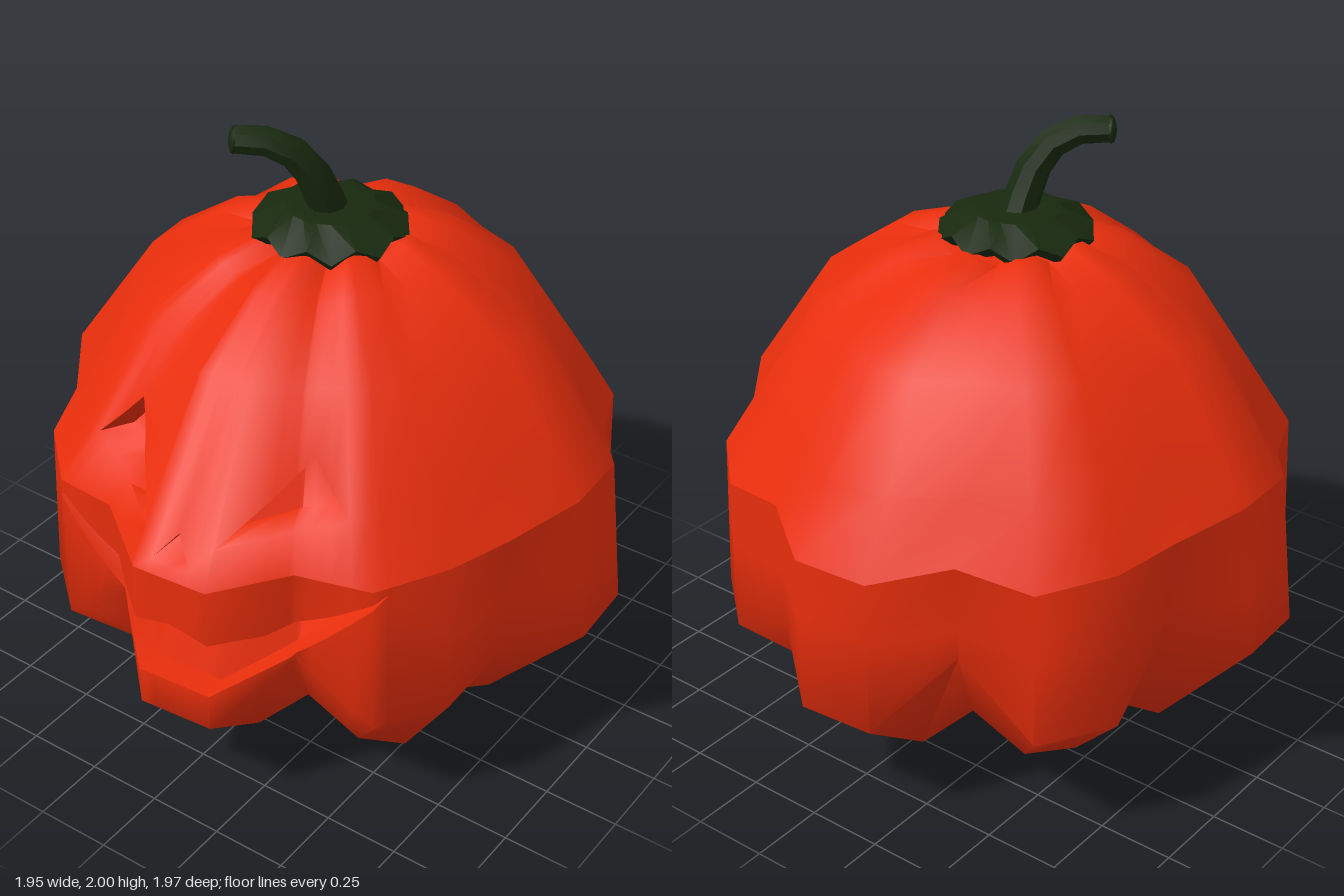
import * as THREE from 'three';
import { mergeGeometries, toCreasedNormals } from 'three/addons/utils/BufferGeometryUtils.js';

const RAD = Math.PI / 180;
const START = 18, STEP = 15;   // angle of the first valley, spacing of the 24 main columns
const FACE = 176;              // direction of the carved face
// radius of each of the 8 ribs
const RIBS = [0.93, 0.985, 0.93, 0.975, 0.93, 0.985, 0.98, 0.975];
// profile rows from underside to top: rib radius, rib y, valley radius, valley y
const ROWS = [
  [0, 0.2, 0, 0.2], [0.42, 0.06, 0.35, 0.22], [0.65, 0.11, 0.62, 0.26],
  [1, 0.37, 0.83, 0.6], [1, 0.9, 0.865, 0.94], [0.655, 1.42, 0.59, 1.42],
  [0.41, 1.59, 0.36, 1.57], [0.25, 1.65, 0.21, 1.61], [0, 1.6, 0, 1.6],
];
// the first three valleys run shallower underneath: radius and y by row
const SHALLOW = { 1: [0.38, 0.14], 2: [0.62, 0.18], 3: [0.85, 0.5] };
// front and back ribs: [raised by, radius factor] on the two widest rows
const FRONT_BACK = { 3: [0.13, 1], 4: [0.1, 0.945] };
const RING = 8; // point index in a column where the sharp ring around the middle runs
// carved openings: lower and upper edge heights by angle away from the face centre,
// and how far the lower and upper edges are set in
const MOUTH = {
  lo: [[0, 0.5], [8, 0.5], [22, 0.6], [41, 0.9], [47, 0.7]],
  hi: [[0, 0.73], [8, 0.7], [18, 0.71], [30, 0.8], [41, 0.9], [47, 0.7]],
  row: 3, depthLo: 0.91, depthHi: 0.84,
};
const EYES_AND_NOSE = {
  lo: [[0, 0.93], [4, 0.94], [8, 1.01], [34, 1.09], [44, 1.12]],
  hi: [[0, 1.02], [4, 0.94], [8, 1.01], [26, 1.245], [34, 1.09], [44, 1.12]],
  row: 4, depthLo: 0.86, depthHi: 0.86,
};

function sample(table, t) {
  for (let i = 1; i < table.length; i++) {
    const [a, va] = table[i - 1], [b, vb] = table[i];
    if (t <= b) return va + (vb - va) * Math.max(0, (t - a) / (b - a));
  }
  return table[table.length - 1][1];
}

// point on one of the 24 main columns at a profile row
function columnPoint(column, row) {
  const k = column % 24;
  const a = (START + STEP * k) * RAD;
  let [r, y, valleyR, valleyY] = ROWS[row];
  if (k % 3 === 0) {
    [r, y] = (k <= 6 && SHALLOW[row]) || [valleyR, valleyY];
  } else {
    r *= RIBS[Math.floor(k / 3)];
    const [lift, narrow] = FRONT_BACK[row] ?? [0, 1];
    const w = Math.sin(a) ** 4;
    y += lift * w;
    r *= 1 + (narrow - 1) * w;
    // one rib hangs lower than the rest
    if (row === 2 && k === 7) y -= 0.11;
    if (row === 2 && k === 8) y -= 0.05;
  }
  return new THREE.Vector3(r * Math.cos(a), y, r * Math.sin(a));
}

function skinPoint(angle, row) {
  const u = (angle - START) / STEP, k = Math.floor(u + 1e-6);
  return columnPoint(k, row).lerp(columnPoint(k + 1, row), Math.max(0, u - k));
}

// a column of the body; both openings are folded inwards as extra points
function makeColumn(angle) {
  const off = Math.abs(angle - FACE);
  const points = [], open = [];
  ROWS.forEach((_, row) => {
    const below = skinPoint(angle, row);
    points.push(below);
    open.push(true);
    for (const hole of [MOUTH, EYES_AND_NOSE]) {
      if (hole.row !== row) continue;
      const above = skinPoint(angle, row + 1);
      const edge = (y, depth) => {
        const f = THREE.MathUtils.clamp((y - below.y) / (above.y - below.y), 0, 1);
        return below.clone().lerp(above, f).multiply(new THREE.Vector3(depth, 1, depth));
      };
      const lo = sample(hole.lo, off), hi = sample(hole.hi, off);
      const isOpen = hi - lo > 1e-4;
      points.push(edge(lo, 1), edge(lo, hole.depthLo), edge(hi, hole.depthHi), edge(hi, 1));
      open.push(isOpen, isOpen, isOpen, true);
    }
  });
  return { points, open };
}

function makeBody() {
  const angles = [];
  for (let k = 0; k < 24; k++) angles.push(START + STEP * k);
  for (const o of [0, 4, 8, 18, 22, 26, 30, 34, 41]) angles.push(FACE + o, FACE - o);
  const columns = [...new Set(angles)].sort((a, b) => a - b).map(makeColumn);
  const lower = [], upper = [];
  const tri = (pos, a, b, c) => {
    const n = b.clone().sub(a).cross(c.clone().sub(a));
    if (n.length() > 1e-8) pos.push(...a, ...b, ...c);
  };
  columns.forEach((col, i) => {
    const next = columns[(i + 1) % columns.length];
    for (let j = 0; j < col.points.length - 1; j++) {
      if (!col.open[j] && !next.open[j]) continue;
      const pos = j < RING ? lower : upper;
      const a = col.points[j], b = col.points[j + 1], c = next.points[j], d = next.points[j + 1];
      tri(pos, a, b, c);
      tri(pos, b, d, c);
    }
  });
  // the halves are shaded apart so the ring between them stays sharp
  return mergeGeometries([lower, upper].map((pos) => {
    const geo = new THREE.BufferGeometry();
    geo.setAttribute('position', new THREE.Float32BufferAttribute(pos, 3));
    return toCreasedNormals(geo, 1.15);
  }));
}

// scalloped collar under the stem
function makeCollar() {
  const profile = [[0.001, 1.6], [0.15, 1.615], [0.22, 1.625], [0.245, 1.655], [0.14, 1.715], [0.06, 1.715], [0.001, 1.71]];
  const geo = new THREE.LatheGeometry(profile.map(([r, y]) => new THREE.Vector2(r, y)), 20);
  const p = geo.attributes.position;
  for (let i = 0; i < p.count; i++) {
    const x = p.getX(i), z = p.getZ(i);
    if (Math.hypot(x, z) < 0.2) continue;
    const wave = Math.cos(10 * Math.atan2(z, x));
    const s = 1 + 0.03 * wave;
    p.setXYZ(i, x * s, p.getY(i) - 0.018 * wave, z * s);
  }
  return toCreasedNormals(geo, 0.6);
}

// bent, tapering stem
function makeStem() {
  const path = new THREE.CatmullRomCurve3([
    [-0.01, 1.66, -0.01], [-0.06, 1.78, -0.02], [-0.1, 1.88, -0.05],
    [-0.16, 1.945, -0.12], [-0.225, 1.955, -0.215],
  ].map((q) => new THREE.Vector3(...q)));
  const segments = 5, sides = 8;
  const geo = new THREE.TubeGeometry(path, segments, 1, sides);
  const p = geo.attributes.position, v = new THREE.Vector3();
  for (let i = 0; i < p.count; i++) {
    const t = Math.floor(i / (sides + 1)) / segments;
    const c = path.getPointAt(t);
    v.fromBufferAttribute(p, i).sub(c).multiplyScalar(0.062 - 0.018 * t).add(c);
    p.setXYZ(i, v.x, v.y, v.z);
  }
  return { geo: toCreasedNormals(geo, 0.7), end: path.getPointAt(1), dir: path.getTangentAt(1) };
}

export function createModel() {
  const group = new THREE.Group();
  const skin = new THREE.MeshStandardMaterial({ color: 0xe82e0c });
  const green = new THREE.MeshStandardMaterial({ color: 0x18290e });
  const add = (name, geo, mat) => {
    const mesh = new THREE.Mesh(geo, mat);
    mesh.name = name;
    group.add(mesh);
    return mesh;
  };
  add('carvedPumpkin', makeBody(), skin);
  add('collar', makeCollar(), green).position.set(-0.02, 0, -0.01);
  const stem = makeStem();
  add('stem', stem.geo, green);
  // rounded cut end of the stem
  const tip = add('stemTip', new THREE.SphereGeometry(0.046, 8, 6), green);
  tip.position.copy(stem.end);
  tip.quaternion.setFromUnitVectors(new THREE.Vector3(0, 1, 0), stem.dir);
  tip.scale.y = 0.4;
  return group;
}
